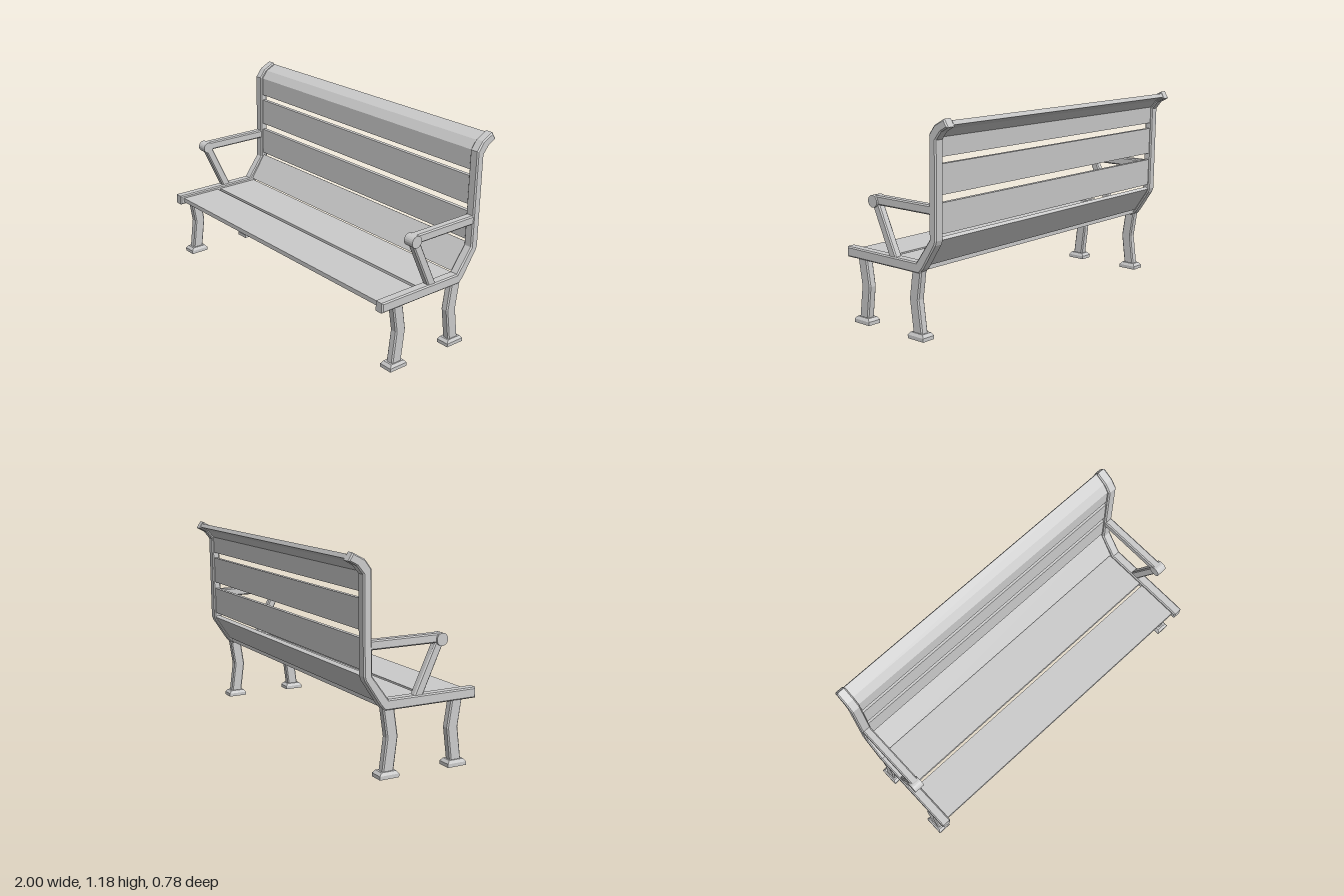
import * as THREE from 'three';

const material = new THREE.MeshStandardMaterial({ color: 0xcccccc, flatShading: true });

// Extrudes a side profile of [z, y] points from x0 to x1, with chamfered edges
function profile(name, points, x0, x1, bevel = 0) {
  const shape = new THREE.Shape(points.map(([z, y]) => new THREE.Vector2(-z, y)));
  const geometry = new THREE.ExtrudeGeometry(shape, {
    depth: x1 - x0 - 2 * bevel,
    bevelEnabled: bevel > 0,
    bevelThickness: bevel,
    bevelSize: bevel,
    bevelOffset: -bevel,
    bevelSegments: 1,
  });
  geometry.rotateY(Math.PI / 2).translate(x0 + bevel, 0, 0);
  return named(name, geometry);
}

function named(name, geometry) {
  const mesh = new THREE.Mesh(geometry, material);
  mesh.name = name;
  return mesh;
}

// Leg with a bent knee, standing on a stepped foot
function leg(name, z, bend) {
  const group = new THREE.Group();
  group.name = name;
  const h = 0.034;
  group.add(profile(name + 'Post', [
    [z + h, 0.37], [z + h + bend, 0.215], [z + h, 0.03],
    [z - h, 0.03], [z - h + bend, 0.215], [z - h, 0.37],
  ], 0.938, 0.985, 0.007));

  const base = new THREE.BoxGeometry(0.08, 0.02, 0.116).translate(0.96, 0.01, z);
  const taper = new THREE.CylinderGeometry(0.38 * Math.SQRT2, 0.5 * Math.SQRT2, 0.016, 4)
    .rotateY(Math.PI / 4).scale(0.08, 1, 0.116).translate(0.96, 0.028, z);
  group.add(named(name + 'FootBase', base), named(name + 'FootTaper', taper));
  return group;
}

// One end of the bench: frame, armrest and two legs
function endFrame(name) {
  const group = new THREE.Group();
  group.name = name;
  group.add(profile('sideFrame', [
    [0.393, 0.36], [-0.17, 0.36], [-0.198, 0.39], [-0.288, 0.525], [-0.297, 0.55],
    [-0.305, 1.065], [-0.34, 1.108], [-0.39, 1.135], [-0.364, 1.176],
    [-0.295, 1.14], [-0.257, 1.09], [-0.248, 0.55], [-0.15, 0.418], [0.393, 0.418],
  ], 0.933, 0.99, 0.007));
  group.add(profile('armrest', [
    [0.17, 0.68], [-0.27, 0.68], [-0.27, 0.731], [0.17, 0.731],
  ], 0.937, 0.986, 0.007));
  group.add(profile('armStrut', [
    [0.06, 0.41], [0.005, 0.41], [0.135, 0.69], [0.182, 0.675],
  ], 0.94, 0.984, 0.007));
  group.add(named('armrestKnob',
    new THREE.CylinderGeometry(0.034, 0.034, 0.062, 20).rotateZ(Math.PI / 2).translate(0.964, 0.698, 0.168)));
  group.add(leg('frontLeg', 0.276, -0.024), leg('rearLeg', -0.146, 0.024));
  return group;
}

export function createModel() {
  const model = new THREE.Group();
  model.name = 'bench';

  const left = endFrame('leftEnd');
  const right = endFrame('rightEnd');
  right.rotation.y = Math.PI;
  // Mirror across x while keeping front and back in place
  right.rotation.y = 0;
  right.scale.x = -1;
  model.add(left, right);

  // Slats running between the two ends
  const slats = {
    frontSeatSlat: [[0.37, 0.374], [0.11, 0.374], [0.11, 0.4], [0.37, 0.4]],
    rearSeatSlat: [[0.09, 0.374], [-0.178, 0.374], [-0.178, 0.4], [0.09, 0.4]],
    lumbarSlat: [[-0.17, 0.412], [-0.191, 0.4], [-0.29, 0.548], [-0.269, 0.56]],
    lowerBackSlat: [[-0.263, 0.577], [-0.286, 0.577], [-0.289, 0.74], [-0.266, 0.74]],
    upperBackSlat: [[-0.266, 0.78], [-0.289, 0.78], [-0.292, 0.94], [-0.269, 0.94]],
    topSlat: [
      [-0.27, 0.975], [-0.293, 0.975], [-0.295, 1.075], [-0.33, 1.117],
      [-0.382, 1.143], [-0.371, 1.165], [-0.307, 1.132], [-0.272, 1.085],
    ],
  };
  for (const [name, points] of Object.entries(slats)) {
    model.add(profile(name, points, -0.937, 0.937));
  }
  return model;
}
